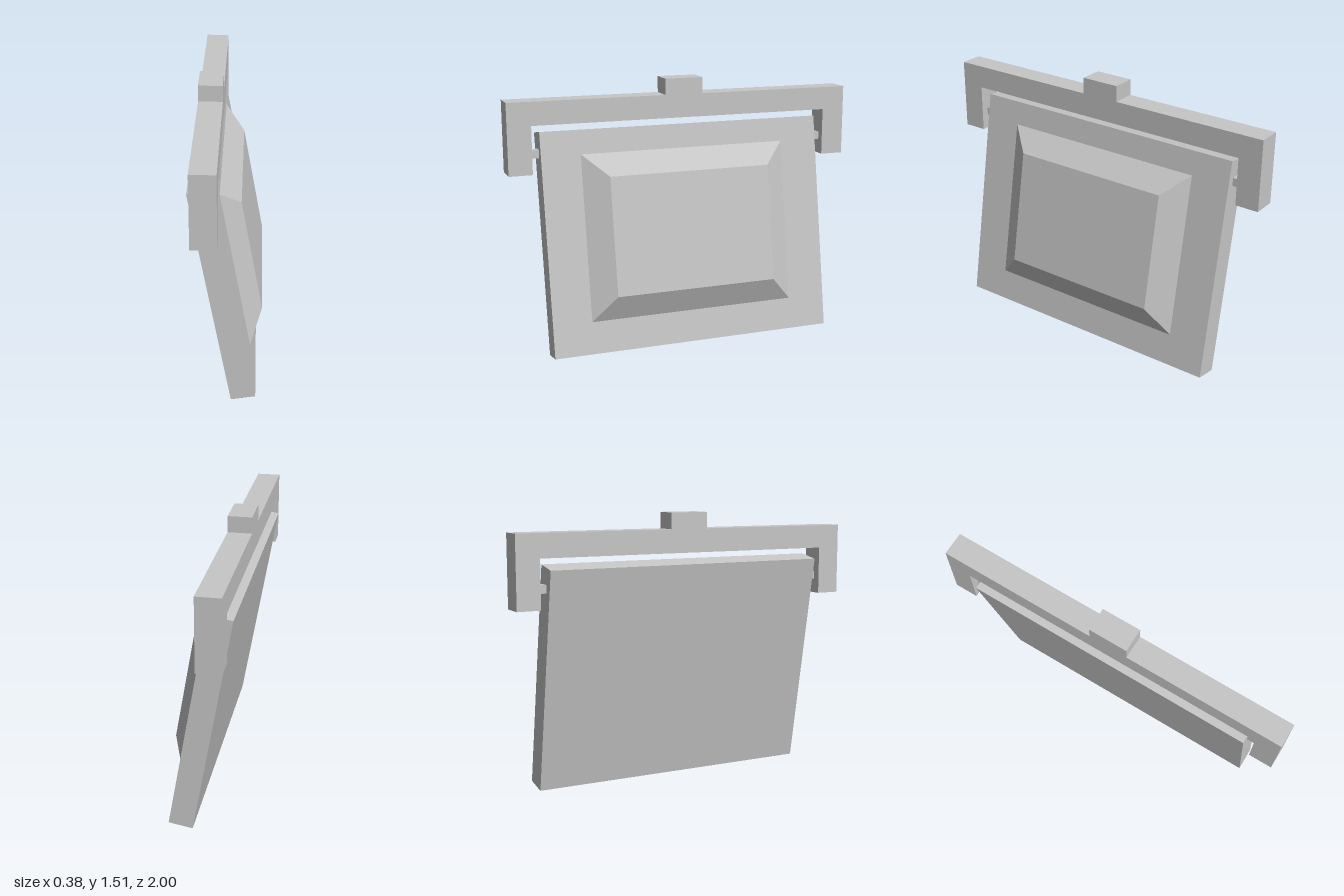
import * as THREE from 'three';

export function createModel() {
  const model = new THREE.Group();
  model.name = 'hangingPanel';
  const grey = new THREE.MeshStandardMaterial({ color: 0xc6c6c6 });
  grey.name = 'plain grey';

  const add = (parent, name, geometry, x = 0, y = 0, z = 0) => {
    const mesh = new THREE.Mesh(geometry, grey);
    mesh.name = name;
    mesh.position.set(x, y, z);
    parent.add(mesh);
    return mesh;
  };

  // Hanger: one outline with two arms and a top tab, extruded across its thickness
  const half = [[0.11, 1.505], [0.11, 1.415], [1, 1.415], [1, 1.018], [0.868, 1.018], [0.868, 1.285]];
  const outline = [...half, ...half.map(([z, y]) => [-z, y]).reverse()];
  const hanger = new THREE.ExtrudeGeometry(
    new THREE.Shape(outline.map(([z, y]) => new THREE.Vector2(z, y))),
    { depth: 0.132, bevelEnabled: false }
  );
  hanger.rotateY(Math.PI / 2);
  add(model, 'hanger', hanger, -0.168);

  // Pivot pins joining the hanger arms to the panel
  for (const side of [1, -1]) {
    add(model, side > 0 ? 'frontPin' : 'backPin', new THREE.BoxGeometry(0.045, 0.045, 0.08), -0.102, 1.122, side * 0.845);
  }

  // Swinging panel, tilted ten degrees
  const panel = new THREE.Group();
  panel.name = 'panel';
  panel.position.set(-0.018, 0.623, 0);
  panel.rotation.z = THREE.MathUtils.degToRad(10);
  model.add(panel);
  add(panel, 'board', new THREE.BoxGeometry(0.132, 1.242, 1.642));

  // Raised centre: a box tapered towards its outer face
  const raised = new THREE.BoxGeometry(1, 1, 1).toNonIndexed();
  const p = raised.attributes.position;
  for (let i = 0; i < p.count; i++) {
    const outer = p.getX(i) > 0;
    const upper = p.getY(i) > 0;
    const y = outer ? (upper ? 0.356 : -0.305) : (upper ? 0.486 : -0.441);
    p.setXYZ(i, outer ? 0.154 : 0.066, y, Math.sign(p.getZ(i)) * (outer ? 0.467 : 0.6));
  }
  raised.computeVertexNormals();
  add(panel, 'raisedCentre', raised);

  return model;
}
